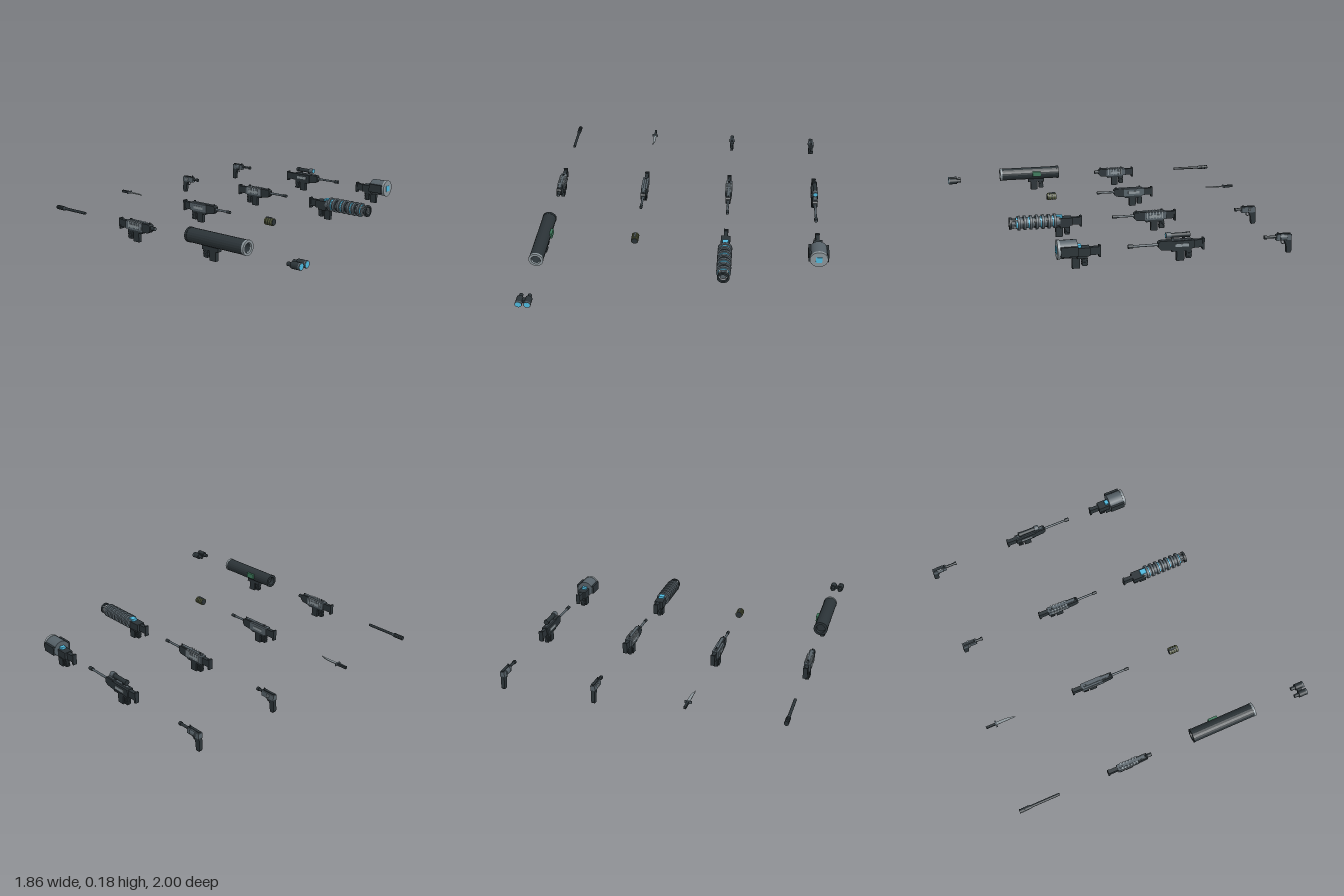
import * as THREE from 'three';

const mats = {};
const C = { dark: 0x2b3337, mid: 0x566168, light: 0x8b959a, cyan: 0x4fb9de, olive: 0x565c3e, green: 0x3d7a5c };
const mat = (c) => (mats[c] ??= new THREE.MeshStandardMaterial({ color: C[c], side: THREE.DoubleSide }));

function add(g, name, geo, c, x = 0, y = 0, z = 0) {
  const m = new THREE.Mesh(geo, mat(c));
  m.name = name;
  m.position.set(x, y, z);
  g.add(m);
  return m;
}
// Box spanning z0..z1 and y0..y1, centred on x
const box = (g, name, c, w, y0, y1, z0, z1, x = 0) =>
  add(g, name, new THREE.BoxGeometry(w, y1 - y0, z1 - z0), c, x, (y0 + y1) / 2, (z0 + z1) / 2);
// Cylinder or cone along z, rb at the rear and rf at the front
const rod = (g, name, c, r, y, z0, z1, x = 0, rf = r, n = 16) =>
  add(g, name, new THREE.CylinderGeometry(rf, r, z1 - z0, n).rotateX(Math.PI / 2), c, x, y, (z0 + z1) / 2);
// Hollow tube along z
function pipe(g, name, c, ro, ri, y, z0, z1, x = 0) {
  const p = [[ri, z0], [ro, z0], [ro, z1], [ri, z1], [ri, z0]].map(([r, z]) => new THREE.Vector2(r, z));
  const geo = new THREE.LatheGeometry(p, 20).rotateX(Math.PI / 2).toNonIndexed();
  geo.computeVertexNormals();
  return add(g, name, geo, c, x, y, 0);
}
// Side profile of [z, y] points, extruded to width w
function plate(g, name, c, w, pts, x = 0) {
  const s = new THREE.Shape(pts.map(([z, y]) => new THREE.Vector2(-z, y)));
  const geo = new THREE.ExtrudeGeometry(s, { depth: w, bevelEnabled: false }).translate(0, 0, -w / 2).rotateY(Math.PI / 2);
  return add(g, name, geo, c, x);
}

// Ridged hand grip
function grip(g, z0, z1, y0, y1) {
  box(g, 'grip', 'dark', 0.022, y0, y1, z0, z1);
  for (let i = 0; i < 4; i++) {
    const y = y0 + 0.005 + (i * (y1 - y0 - 0.01)) / 4;
    box(g, 'gripRidge', 'dark', 0.027, y, y + 0.007, z0 - 0.003, z1 + 0.003);
  }
}
// Stock, receiver and grips shared by the long pieces, rear end at z = 0
function frame(g, w = 0.042, front = 0.21, c = 'mid') {
  box(g, 'buttPad', 'dark', 0.028, 0.06, 0.13, 0, 0.012);
  box(g, 'stock', 'dark', 0.024, 0.075, 0.122, 0.012, 0.07);
  box(g, 'receiver', c, w, 0.075, 0.125, 0.065, front);
  box(g, 'receiverBase', 'dark', w * 0.75, 0.06, 0.078, 0.08, front - 0.01);
  grip(g, 0.08, 0.108, 0.012, 0.065);
  box(g, 'magazine', 'dark', 0.024, 0, 0.065, 0.122, 0.168);
}
function rifle(g, { tip, muzzle, ribs = 0, c = 'mid', scope = false, guard = 0.28 }) {
  frame(g, 0.042, 0.21, c);
  plate(g, 'handguard', 'dark', 0.034, [[0.2, 0.068], [guard - 0.015, 0.075], [guard, 0.09], [guard, 0.118], [guard - 0.01, 0.128], [0.2, 0.128]]);
  for (const s of [-1, 1]) box(g, 'sidePanel', 'light', 0.004, 0.09, 0.108, 0.1, 0.18, s * 0.022);
  box(g, 'topRail', 'mid', 0.016, 0.125, 0.132, 0.08, guard - 0.02);
  for (let i = 0; i < ribs; i++) {
    const z = 0.09 + i * 0.02;
    box(g, 'coolingRib', 'light', 0.047, 0.085, 0.13, z, z + 0.008);
  }
  rod(g, 'barrel', 'mid', 0.008, 0.105, guard - 0.01, tip, 0, 0.007, 12);
  rod(g, 'muzzle', 'dark', muzzle, 0.105, tip - 0.03, tip, 0, muzzle, 12);
  if (scope) {
    for (const z of [0.12, 0.19]) box(g, 'scopeMount', 'dark', 0.012, 0.13, 0.15, z, z + 0.012);
    rod(g, 'scopeTube', 'dark', 0.014, 0.156, 0.09, 0.22);
    rod(g, 'scopeHood', 'mid', 0.018, 0.158, 0.205, 0.235);
    rod(g, 'scopeEyepiece', 'dark', 0.017, 0.156, 0.09, 0.11);
    rod(g, 'scopeLens', 'cyan', 0.014, 0.158, 0.234, 0.236);
  } else {
    box(g, 'rearSight', 'dark', 0.008, 0.13, 0.14, 0.09, 0.1);
    box(g, 'frontSight', 'dark', 0.006, 0.122, 0.138, guard - 0.02, guard - 0.012);
  }
}

// Hand pieces, rear end at z = 0
function sidearm(g, tip, drum) {
  plate(g, 'grip', 'dark', 0.022, [[0, 0.015], [0.006, 0], [0.03, 0], [0.036, 0.05], [0.05, 0.08], [0.005, 0.085]]);
  box(g, 'body', 'mid', 0.028, 0.08, 0.115, 0.005, 0.1);
  box(g, 'topSlide', 'dark', 0.016, 0.115, 0.121, 0.01, 0.095);
  rod(g, 'barrel', 'dark', 0.009, 0.102, 0.09, tip, 0, 0.008, 12);
  rod(g, 'muzzle', 'dark', 0.012, 0.102, tip - 0.015, tip, 0, 0.012, 12);
  box(g, 'frontSight', 'dark', 0.005, 0.11, 0.13, 0.085, 0.092);
  add(g, 'triggerGuard', new THREE.TorusGeometry(0.014, 0.003, 6, 16).rotateY(Math.PI / 2), 'mid', 0, 0.07, 0.052);
  if (drum) rod(g, 'sideDrum', 'mid', 0.022, 0.098, 0.035, 0.075, 0, 0.022, 12);
  else for (const s of [-1, 1]) box(g, 'sideTab', 'light', 0.01, 0.092, 0.108, 0.04, 0.055, s * 0.018);
}

function baton(g) {
  rod(g, 'handle', 'dark', 0.012, 0.1, 0, 0.07);
  for (let i = 0; i < 5; i++) rod(g, 'handleRing', 'dark', 0.014, 0.1, i * 0.014, i * 0.014 + 0.007);
  rod(g, 'shaft', 'dark', 0.009, 0.1, 0.07, 0.27);
  rod(g, 'collar', 'mid', 0.012, 0.1, 0.068, 0.076);
}
function knife(g) {
  box(g, 'handle', 'dark', 0.014, 0.092, 0.108, 0, 0.065);
  box(g, 'guard', 'mid', 0.042, 0.092, 0.108, 0.063, 0.072);
  const s = new THREE.Shape();
  s.moveTo(-0.009, 0.07);
  s.lineTo(0.01, 0.07);
  s.lineTo(0.01, 0.13);
  s.quadraticCurveTo(0.008, 0.17, -0.007, 0.2);
  s.lineTo(-0.009, 0.07);
  const geo = new THREE.ExtrudeGeometry(s, { depth: 0.005, bevelEnabled: false }).rotateX(Math.PI / 2);
  add(g, 'blade', geo, 'light', 0, 0.1025, 0);
}
// Shoulder tube, rear end at z = 0
function launcher(g) {
  pipe(g, 'tube', 'dark', 0.044, 0.03, 0.125, 0, 0.43);
  pipe(g, 'frontRim', 'light', 0.046, 0.03, 0.125, 0.425, 0.44);
  pipe(g, 'rearRim', 'dark', 0.046, 0.03, 0.125, 0, 0.015);
  rod(g, 'innerCore', 'dark', 0.031, 0.125, 0.03, 0.37);
  box(g, 'sideSight', 'green', 0.016, 0.11, 0.145, 0.14, 0.2, 0.046);
  box(g, 'gripMount', 'dark', 0.03, 0.06, 0.085, 0.11, 0.23);
  grip(g, 0.12, 0.148, 0.012, 0.065);
  box(g, 'frontGrip', 'dark', 0.024, 0, 0.065, 0.162, 0.21);
}
function grenade(g) {
  rod(g, 'core', 'dark', 0.02, 0.1, 0, 0.065);
  for (let i = 0; i < 4; i++) rod(g, 'band', 'olive', 0.024, 0.1, 0.002 + i * 0.016, 0.013 + i * 0.016);
  box(g, 'lever', 'mid', 0.01, 0.122, 0.128, 0.005, 0.05);
}
// Ringed coil piece, rear end at z = 0
function coilGun(g) {
  frame(g, 0.06, 0.15, 'dark');
  box(g, 'powerCell', 'cyan', 0.036, 0.12, 0.14, 0.125, 0.165);
  rod(g, 'coilCore', 'mid', 0.034, 0.105, 0.14, 0.42);
  for (let i = 0; i < 7; i++) {
    const z = 0.165 + i * 0.038;
    rod(g, 'coilRing', 'mid', 0.046, 0.105, z, z + 0.016, 0, 0.046, 20);
    rod(g, 'coilGlow', i % 2 ? 'dark' : 'cyan', 0.036, 0.105, z + 0.016, z + 0.024);
  }
  for (let i = 0; i < 4; i++) {
    const a = (i * Math.PI) / 2 + Math.PI / 4;
    rod(g, 'muzzleProng', 'light', 0.006, 0.105 + 0.031 * Math.sin(a), 0.4, 0.45, 0.031 * Math.cos(a), 0.006, 8);
  }
  pipe(g, 'muzzleRing', 'dark', 0.038, 0.026, 0.105, 0.445, 0.46);
  rod(g, 'muzzleCore', 'mid', 0.018, 0.105, 0.42, 0.445);
}
// Wide drum piece, rear end at z = 0
function drumGun(g) {
  frame(g, 0.056, 0.15, 'dark');
  box(g, 'powerCell', 'cyan', 0.03, 0.12, 0.14, 0.115, 0.145);
  rod(g, 'drum', 'mid', 0.054, 0.118, 0.14, 0.24, 0, 0.054, 20);
  rod(g, 'drumCap', 'light', 0.057, 0.118, 0.24, 0.256, 0, 0.057, 20);
  box(g, 'frontPanel', 'cyan', 0.04, 0.098, 0.138, 0.25, 0.26);
  for (const s of [-1, 1]) box(g, 'sidePlate', 'dark', 0.014, 0.09, 0.147, 0.14, 0.24, s * 0.056);
}
function binoculars(g) {
  for (const x of [-0.026, 0.026]) {
    rod(g, 'eyepiece', 'dark', 0.012, 0.1, 0, 0.04, x);
    rod(g, 'barrel', 'dark', 0.021, 0.1, 0.03, 0.085, x);
    rod(g, 'rim', 'mid', 0.022, 0.1, 0.08, 0.089, x);
    rod(g, 'lens', 'cyan', 0.018, 0.1, 0.088, 0.09, x);
  }
  box(g, 'bridge', 'dark', 0.03, 0.093, 0.11, 0.035, 0.065);
}

export function createModel() {
  const root = new THREE.Group();
  root.name = 'equipmentSet';
  const X = [-0.88, -0.3, 0.28, 0.865];
  // name, column, rear z, builder
  const items = [
    ['baton', 0, -1, baton],
    ['knife', 1, -1, knife],
    ['sidearm', 2, -0.95, (g) => sidearm(g, 0.145, false)],
    ['heavySidearm', 3, -0.95, (g) => sidearm(g, 0.175, true)],
    ['shortRifle', 0, -0.4, (g) => rifle(g, { tip: 0.3, muzzle: 0.012, ribs: 6, guard: 0.27 })],
    ['rifle', 1, -0.4, (g) => rifle(g, { tip: 0.4, muzzle: 0.01 })],
    ['ribbedRifle', 2, -0.4, (g) => rifle(g, { tip: 0.42, muzzle: 0.01, ribs: 6 })],
    ['scopedRifle', 3, -0.4, (g) => rifle(g, { tip: 0.46, muzzle: 0.012, c: 'dark', scope: true })],
    ['launcher', 0, 0.18, launcher],
    ['grenade', 1, 0.29, grenade],
    ['coilGun', 2, 0.22, coilGun],
    ['drumGun', 3, 0.22, drumGun],
    ['binoculars', 0, 0.91, binoculars],
  ];
  for (const [name, col, z, build] of items) {
    const g = new THREE.Group();
    g.name = name;
    g.position.set(X[col], 0, z);
    build(g);
    root.add(g);
  }
  return root;
}
